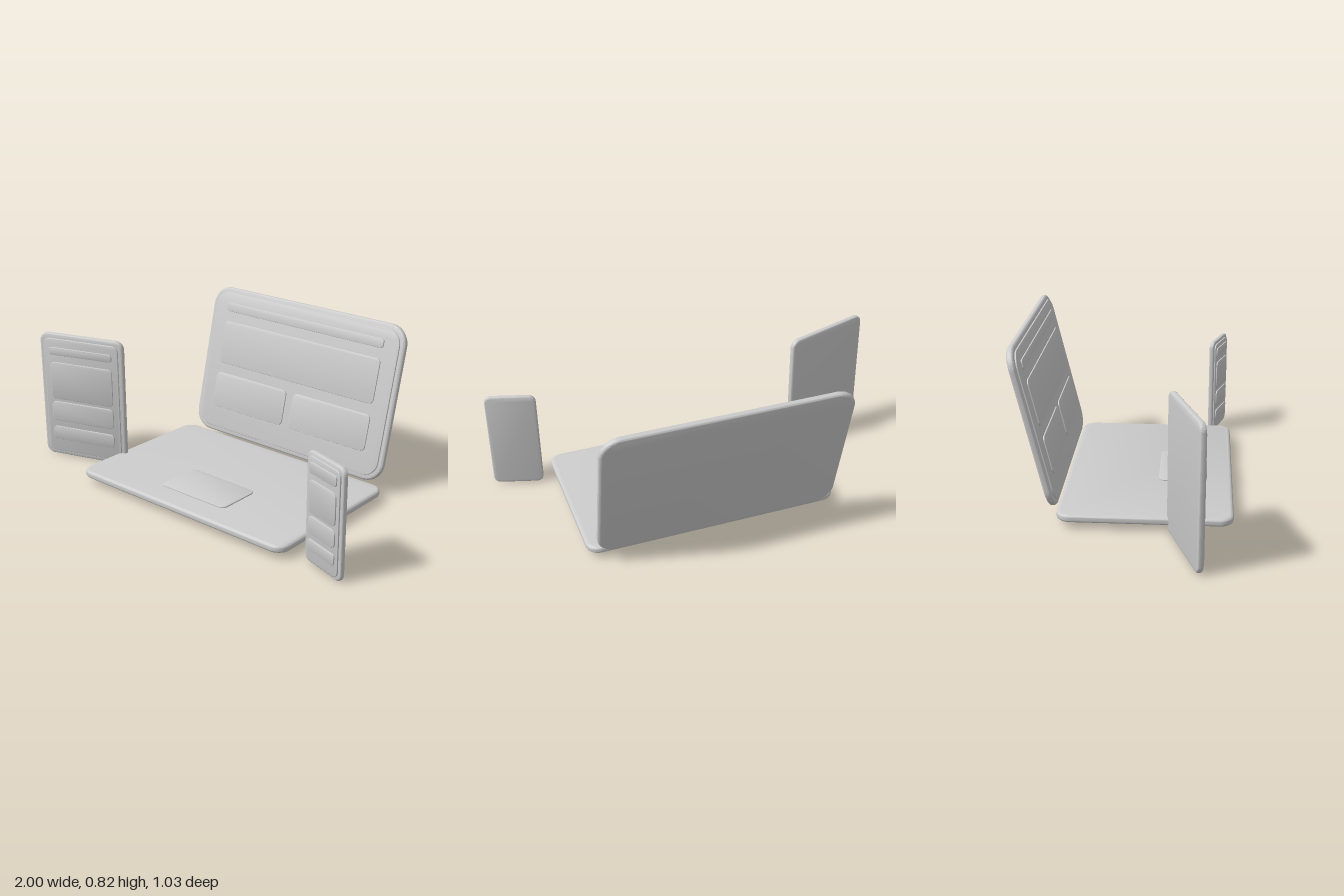
import * as THREE from 'three';
import { toCreasedNormals } from 'three/addons/utils/BufferGeometryUtils.js';

const material = new THREE.MeshStandardMaterial({ color: 0xcccccc });

// Rounded slab of full size w x h x d with softened edges, centred on the origin
function slab(name, w, h, d, radius, bevel) {
  const x = w / 2 - bevel, y = h / 2 - bevel, r = Math.max(radius - bevel, 0.004);
  const s = new THREE.Shape();
  s.absarc(x - r, y - r, r, 0, Math.PI / 2);
  s.absarc(-x + r, y - r, r, Math.PI / 2, Math.PI);
  s.absarc(-x + r, -y + r, r, Math.PI, Math.PI * 1.5);
  s.absarc(x - r, -y + r, r, Math.PI * 1.5, Math.PI * 2);
  s.closePath();
  const geo = new THREE.ExtrudeGeometry(s, {
    depth: d - 2 * bevel, bevelEnabled: true, bevelThickness: bevel,
    bevelSize: bevel, bevelSegments: 5, curveSegments: 10,
  });
  geo.translate(0, 0, -d / 2 + bevel);
  const mesh = new THREE.Mesh(toCreasedNormals(geo, 0.6), material);
  mesh.name = name;
  return mesh;
}

// Device: body slab, raised display and raised content panels [name, x, bottom, top, width]
function device(name, w, h, d, radius, inset, panels) {
  const g = new THREE.Group();
  g.name = name;
  g.add(slab(name + 'Body', w, h, d, radius, d * 0.42));
  const display = slab(name + 'Display', w - 2 * inset, h - 2 * inset, 0.012, radius * 0.8, 0.003);
  display.position.z = d / 2 + 0.001;
  g.add(display);
  for (const [label, x, bottom, top, pw] of panels) {
    const p = slab(name + label, pw, top - bottom, 0.01, Math.min(0.025, (top - bottom) * 0.3), 0.002);
    p.position.set(x, (top + bottom) / 2, d / 2 + 0.008);
    g.add(p);
  }
  return g;
}

export function createModel() {
  const model = new THREE.Group();
  model.name = 'deviceSet';

  // Laptop base and trackpad
  const base = slab('laptopBase', 1.28, 0.81, 0.038, 0.065, 0.017);
  base.rotation.x = -Math.PI / 2;
  base.position.set(0.06, 0.049, 0.105);
  const trackpad = slab('trackpad', 0.4, 0.235, 0.012, 0.03, 0.002);
  trackpad.rotation.x = -Math.PI / 2;
  trackpad.position.set(0.06, 0.068, 0.268);
  model.add(base, trackpad);

  // Laptop screen, leaning back
  const screen = device('laptopScreen', 1.205, 0.777, 0.034, 0.1, 0.025, [
    ['Header', 0, 0.264, 0.31, 0.985],
    ['MainPanel', 0, -0.014, 0.212, 0.985],
    ['LeftCard', -0.2575, -0.251, -0.066, 0.47],
    ['RightCard', 0.2575, -0.251, -0.066, 0.47],
  ]);
  screen.rotation.x = -0.243;
  screen.position.set(0.0625, 0.4425, -0.4085);
  model.add(screen);

  // Tablet, turned inwards
  const tablet = device('tablet', 0.48, 0.67, 0.03, 0.045, 0.025, [
    ['Header', 0, 0.225, 0.265, 0.36],
    ['MainPanel', 0, -0.015, 0.185, 0.36],
    ['UpperCard', 0, -0.137, -0.03, 0.36],
    ['LowerCard', 0, -0.242, -0.17, 0.36],
  ]);
  tablet.rotation.y = 0.31;
  tablet.position.set(-0.77, 0.335, 0.292);
  model.add(tablet);

  // Phone, turned inwards
  const phone = device('phone', 0.255, 0.525, 0.026, 0.035, 0.017, [
    ['Header', 0, 0.17, 0.222, 0.185],
    ['MainPanel', 0, -0.011, 0.142, 0.185],
    ['UpperCard', 0, -0.112, -0.027, 0.185],
    ['LowerCard', 0, -0.192, -0.138, 0.185],
  ]);
  phone.rotation.y = -0.3;
  phone.position.set(0.8775, 0.2625, 0.437);
  model.add(phone);

  return model;
}
